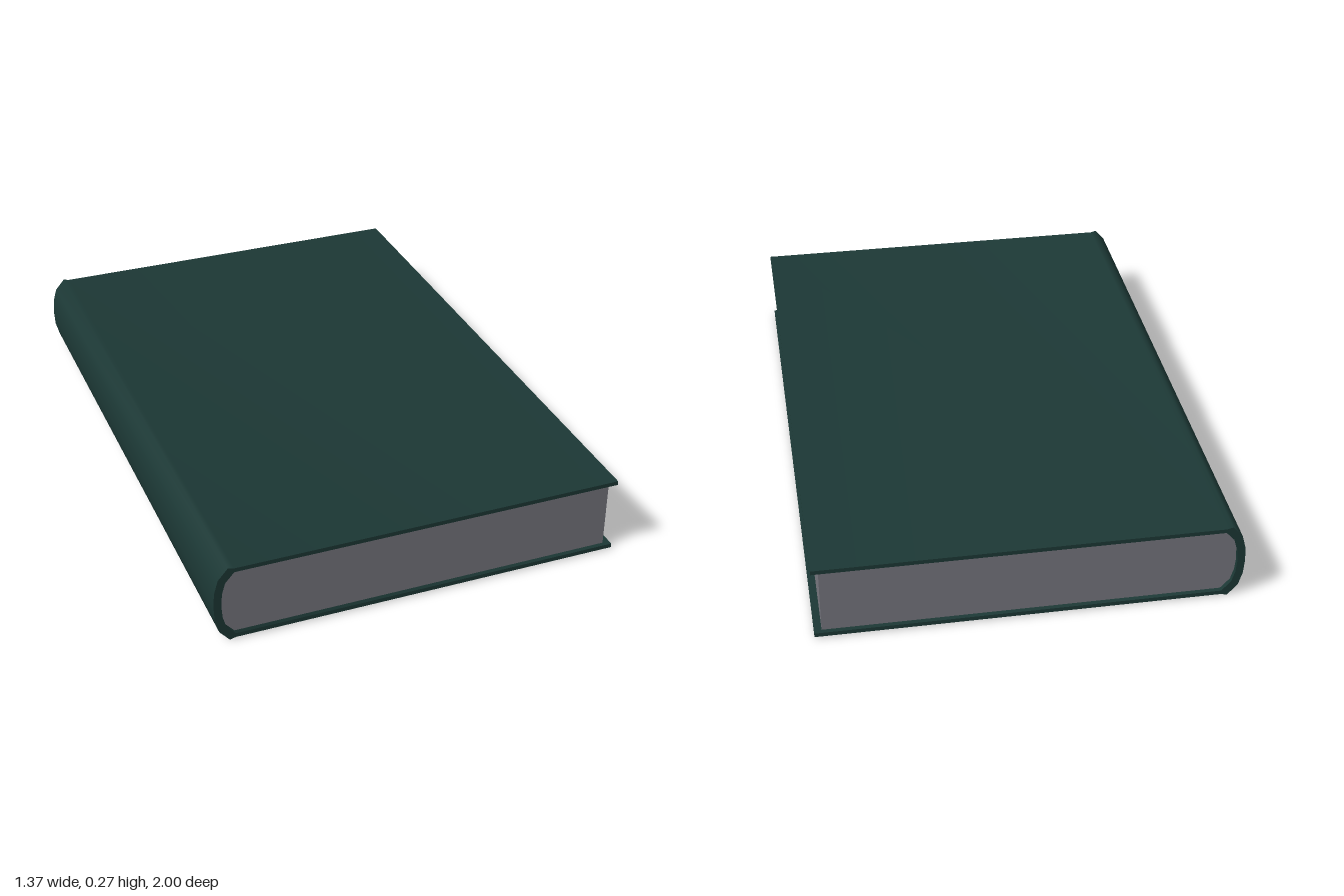
import * as THREE from 'three';
import { toCreasedNormals } from 'three/addons/utils/BufferGeometryUtils.js';

const MID = 0.135; // half the thickness of the book

// Upper half of the spine, from the cover joint down to the middle
const outerSpine = [[-0.615, 0.265], [-0.635, 0.27], [-0.668, 0.232], [-0.681, 0.185], [-0.684, MID]];
const innerSpine = [[-0.615, 0.251], [-0.645, 0.217], [-0.656, 0.178], [-0.659, MID]];

// Full curve, mirrored top to bottom
function mirrored(half) {
  const lower = half.slice(0, -1).reverse().map(([x, y]) => [x, 2 * MID - y]);
  return [...half, ...lower];
}

// Extrude an x-y outline along z, centred
function slab(name, points, length, color) {
  const shape = new THREE.Shape(points.map(([x, y]) => new THREE.Vector2(x, y)));
  const geometry = new THREE.ExtrudeGeometry(shape, { depth: length, bevelEnabled: false });
  geometry.translate(0, 0, -length / 2);
  const mesh = new THREE.Mesh(
    toCreasedNormals(geometry, 1.2),
    new THREE.MeshStandardMaterial({ color })
  );
  mesh.name = name;
  return mesh;
}

export function createModel() {
  const book = new THREE.Group();
  book.name = 'book';

  // One-piece cover: both boards and the rounded spine
  const cover = [
    [0.684, 0.265], ...mirrored(outerSpine), [0.684, 0.005],
    [0.684, 0.019], ...mirrored(innerSpine).reverse(), [0.684, 0.251],
  ];
  book.add(slab('cover', cover, 2, 0x1c3835));

  // Page block, rounded where it meets the spine
  const pages = [[0.66, 0.251], ...mirrored(innerSpine), [0.66, 0.019]];
  book.add(slab('pages', pages, 1.97, 0x77777f));

  return book;
}
